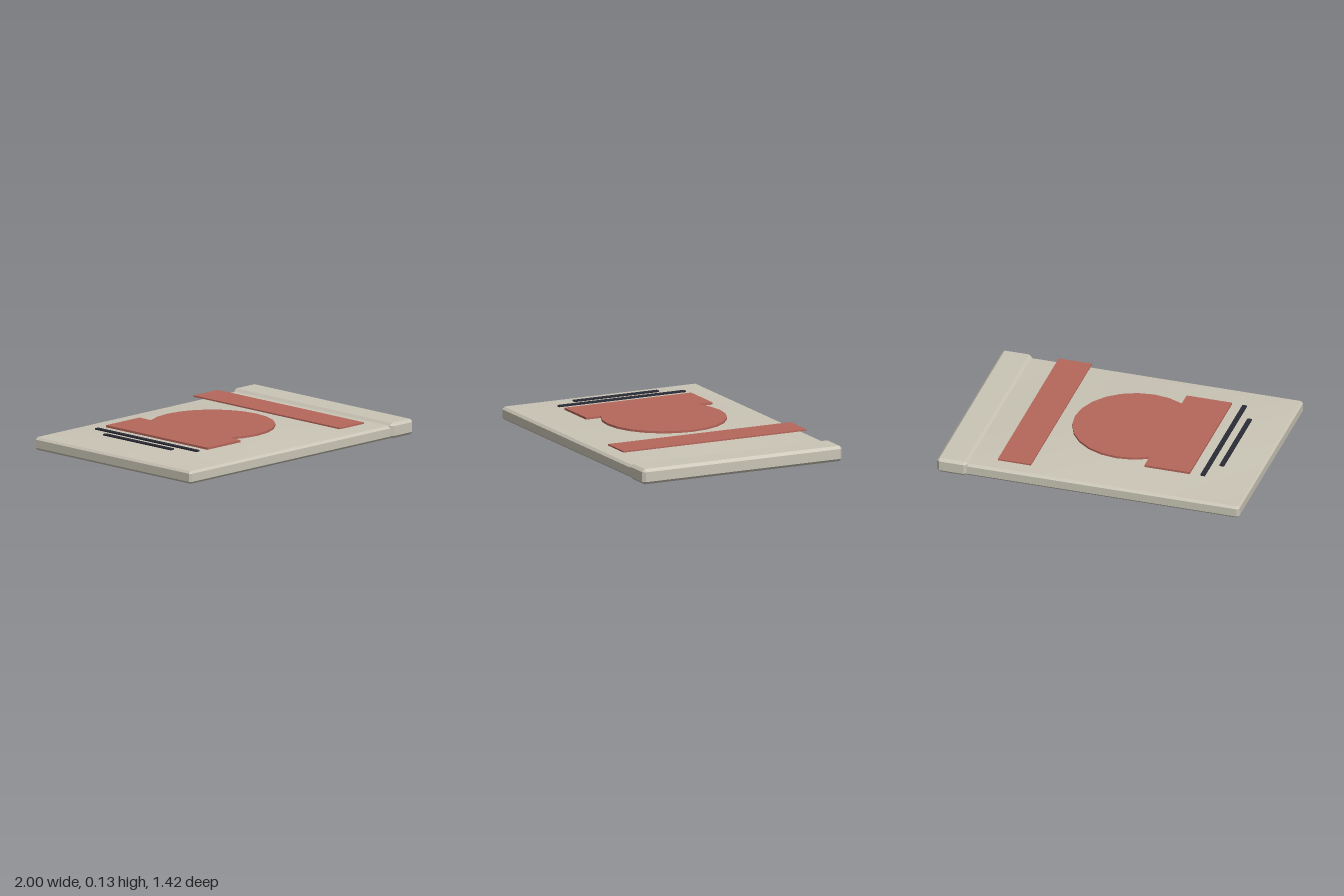
import * as THREE from 'three';
import { ConvexGeometry } from 'three/addons/geometries/ConvexGeometry.js';

const material = (name, color, flatShading = false) => {
  const m = new THREE.MeshStandardMaterial({ color });
  m.name = name;
  m.flatShading = flatShading;
  return m;
};

// Box with chamfered edges, given by its limits on each axis
function chamferBox(x0, x1, y0, y1, z0, z1, c) {
  const points = [];
  for (const sx of [0, 1]) for (const sy of [0, 1]) for (const sz of [0, 1]) {
    const corner = [sx ? x1 : x0, sy ? y1 : y0, sz ? z1 : z0];
    const inset = [sx ? -c : c, sy ? -c : c, sz ? -c : c];
    for (let keep = 0; keep < 3; keep++) {
      points.push(new THREE.Vector3(...corner.map((v, i) => (i === keep ? v : v + inset[i]))));
    }
  }
  return new ConvexGeometry(points);
}

export function createModel() {
  const model = new THREE.Group();
  model.name = 'slab';
  const shell = material('warm grey shell', 0xc9c4b5);
  const red = material('muted red', 0xb5665a);
  const dark = material('dark slate', 0x2a2b35);

  const add = (name, geometry, mat) => {
    const mesh = new THREE.Mesh(geometry, mat);
    mesh.name = name;
    model.add(mesh);
    return mesh;
  };

  // Main slab and the thicker band across its left end
  add('body', chamferBox(-1, 0.82, 0, 0.083, -0.695, 0.695, 0.015), shell);
  add('endBand', chamferBox(0.8, 1, 0, 0.1, -0.71, 0.71, 0.018), shell);

  // Gently domed top surface
  const dome = new THREE.PlaneGeometry(1.8, 1.36, 28, 20).rotateX(-Math.PI / 2);
  const p = dome.attributes.position;
  for (let i = 0; i < p.count; i++) {
    const rise = Math.cos((p.getX(i) / 1.8) * Math.PI) * Math.cos((p.getZ(i) / 1.36) * Math.PI);
    p.setY(i, 0.0832 + 0.036 * rise);
  }
  dome.translate(-0.09, 0, 0);
  dome.computeVertexNormals();
  add('domedTop', dome, shell);

  // Red plate: a rectangle joined to a 24-sided disc
  const outline = new THREE.Shape();
  outline.moveTo(-0.6, -0.45);
  outline.lineTo(-0.3, -0.45);
  for (let i = -8; i <= 8; i++) {
    const a = (i * Math.PI) / 12;
    outline.lineTo(-0.1 + 0.4 * Math.cos(a), 0.4 * Math.sin(a));
  }
  outline.lineTo(-0.3, 0.45);
  outline.lineTo(-0.6, 0.45);
  outline.closePath();
  const plate = new THREE.ExtrudeGeometry(outline, { depth: 0.014, bevelEnabled: false });
  add('roundedPlate', plate.rotateX(-Math.PI / 2).translate(0, 0.12, 0), red);

  // Long red stripe
  add('stripe', new THREE.BoxGeometry(0.22, 0.009, 1.3), red).position.set(0.5, 0.127, 0);

  // Two dark bars
  for (const [name, x, length] of [['longBar', -0.685, 0.9], ['shortBar', -0.765, 0.6]]) {
    add(name, new THREE.BoxGeometry(0.03, 0.009, length), dark).position.set(x, 0.126, 0);
  }
  return model;
}
